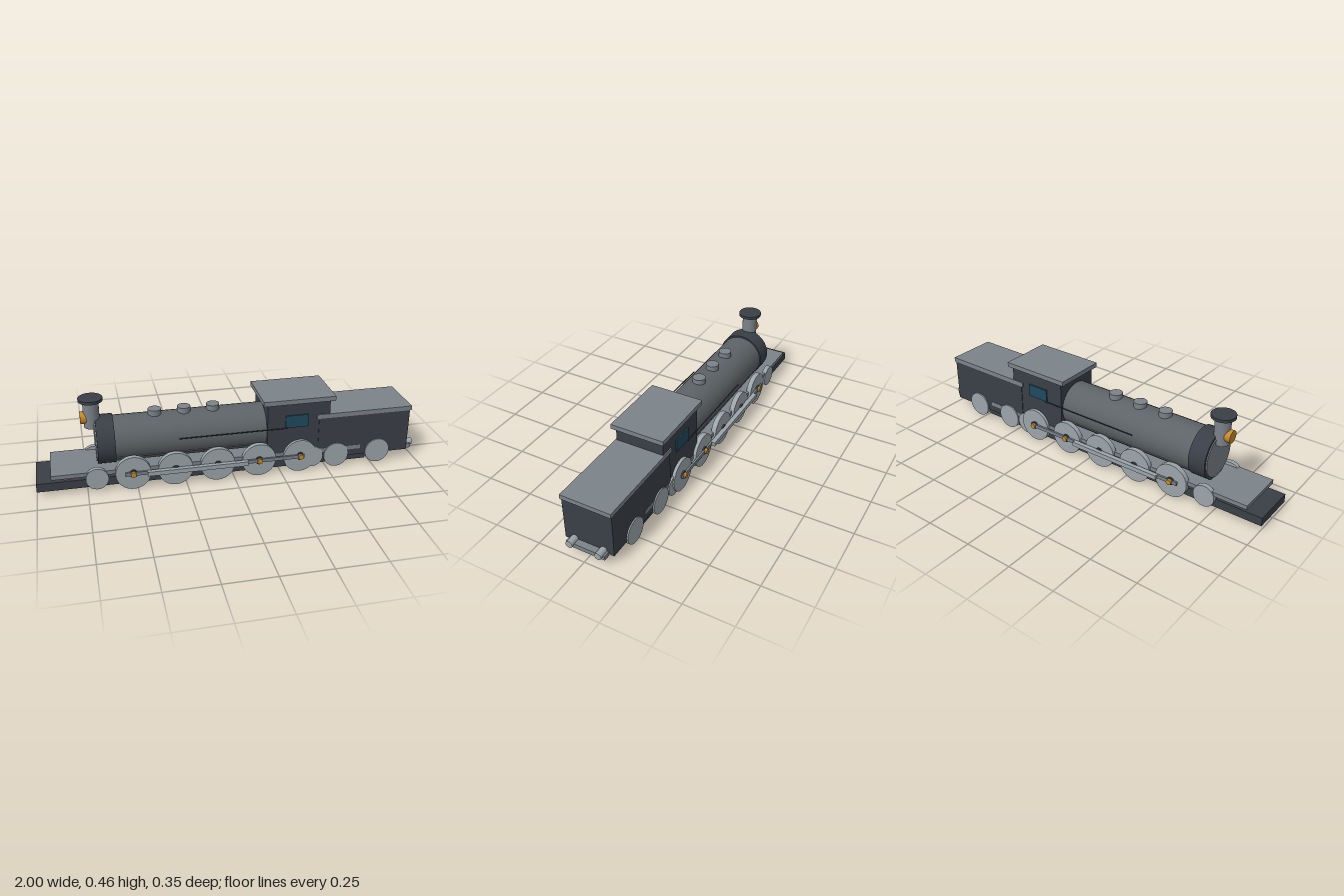
import * as THREE from 'three';

export function createModel() {
  const model = new THREE.Group();
  model.name = 'steamLocomotive';

  const paint = (color) => new THREE.MeshStandardMaterial({ color });
  const dark = paint(0x3a3f47);
  const iron = paint(0x5d6367);
  const grey = paint(0x7b8289);
  const steel = paint(0x9ba5aa);
  const brass = paint(0xc48a2c);
  const glass = paint(0x1f4a5e);

  function add(name, geometry, material, x, y, z) {
    const mesh = new THREE.Mesh(geometry, material);
    mesh.name = name;
    mesh.position.set(x, y, z);
    model.add(mesh);
    return mesh;
  }

  // Box given by its limits along each axis
  function box(name, material, [x0, x1], [y0, y1], [z0, z1]) {
    return add(name, new THREE.BoxGeometry(x1 - x0, y1 - y0, z1 - z0), material,
      (x0 + x1) / 2, (y0 + y1) / 2, (z0 + z1) / 2);
  }

  // Cylinder along a chosen axis, centred at x, y, z
  function rod(name, material, axis, radius, length, x, y, z, sides = 32) {
    const geometry = new THREE.CylinderGeometry(radius, radius, length, sides);
    if (axis === 'x') geometry.rotateZ(Math.PI / 2);
    if (axis === 'z') geometry.rotateX(Math.PI / 2);
    return add(name, geometry, material, x, y, z);
  }

  // Frame and running board
  box('frame', dark, [-1, 0.72], [0.025, 0.07], [-0.118, 0.118]);
  box('runningBoard', grey, [-0.925, 0.685], [0.092, 0.114], [-0.132, 0.132]);
  box('boardSupport', grey, [-0.865, -0.83], [0.07, 0.092], [-0.1, 0.1]);

  // Boiler, smokebox and its door
  rod('boiler', iron, 'x', 0.118, 0.82, -0.22, 0.228, 0);
  rod('smokebox', dark, 'x', 0.125, 0.09, -0.642, 0.23, 0);
  rod('smokeboxDoor', grey, 'x', 0.112, 0.01, -0.688, 0.23, 0);
  for (const x of [-0.385, -0.235, -0.085]) rod('dome', grey, 'y', 0.034, 0.05, x, 0.346, 0);

  // Chimney and headlamp
  rod('chimney', grey, 'y', 0.04, 0.142, -0.7, 0.376, 0);
  rod('chimneyCap', dark, 'y', 0.061, 0.015, -0.7, 0.453, 0);
  rod('headlamp', brass, 'x', 0.032, 0.03, -0.742, 0.356, 0, 24);

  // Cab
  box('cab', dark, [0.175, 0.507], [0.1, 0.39], [-0.128, 0.128]);
  box('cabRoof', grey, [0.15, 0.53], [0.388, 0.413], [-0.142, 0.142]);

  // Tender
  box('tender', dark, [0.45, 0.95], [0.058, 0.29], [-0.131, 0.131]);
  box('tenderTop', grey, [0.437, 0.958], [0.289, 0.313], [-0.134, 0.134]);

  // Rear buffers
  box('bufferBeam', grey, [0.95, 0.985], [0.05, 0.073], [-0.104, 0.104]);
  for (const z of [-0.077, 0.077]) rod('buffer', steel, 'x', 0.018, 0.05, 0.975, 0.074, z, 24);

  const drivers = [-0.52, -0.305, -0.087, 0.13, 0.35];
  for (const side of [-1, 1]) {
    // Cab window and handrails
    box('cabWindow', glass, [0.27, 0.39], [0.255, 0.322], [side * 0.131 - 0.004, side * 0.131 + 0.004]);
    rod('handrail', dark, 'x', 0.003, 0.56, 0, 0.254, side * 0.135, 8);
    rod('lowerRail', grey, 'x', 0.003, 0.76, -0.21, 0.164, side * 0.1, 8);

    // Driving wheels with hubs
    for (const x of drivers) {
      rod('drivingWheel', steel, 'z', 0.089, 0.027, x, 0.091, side * 0.131);
      rod('wheelHub', dark, 'z', 0.021, 0.01, x, 0.091, side * 0.147, 24);
    }

    // Leading, trailing and tender wheels: x, radius, y
    for (const [x, radius, y] of [[-0.7, 0.057, 0.075], [0.42, 0.057, 0.075],
      [0.55, 0.067, 0.072], [0.78, 0.067, 0.072]]) {
      rod('smallWheel', steel, 'z', radius, 0.024, x, y, side * 0.126);
    }

    // Coupling rod, outer drive rod and brass crank pins
    const coupling = box('couplingRod', grey, [-0.56, 0.37], [0.083, 0.102], [0.147, 0.157]);
    coupling.position.z *= side;
    const drive = box('driveRod', steel, [-0.45, 0.065], [0.081, 0.104], [0.153, 0.174]);
    drive.position.z *= side;
    for (const x of [-0.52, 0.13, 0.35]) rod('crankPin', brass, 'z', 0.014, 0.016, x, 0.092, side * 0.158, 16);
  }

  return model;
}
